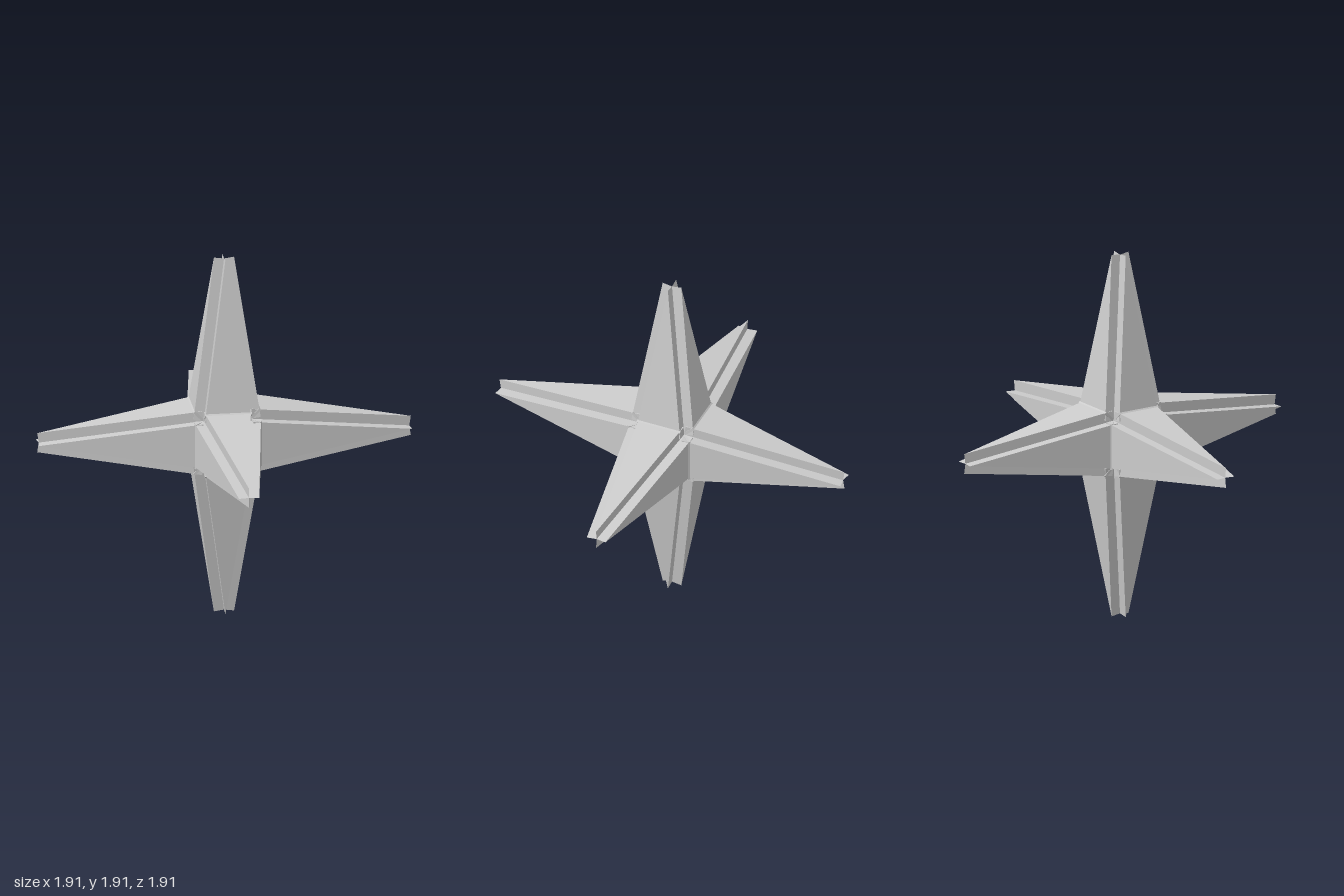
import * as THREE from 'three';

const CORE = 0.12;    // half size of the core cube
const TIP = 0.946;    // distance from centre to the end of an arm
const THICK = 0.052;  // thickness of the raised plates

export function createModel() {
  const star = new THREE.Group();
  star.name = 'sixPointedStar';
  const material = new THREE.MeshStandardMaterial({ color: 0xcccccc, flatShading: true });

  // triangular plate lying on one side of an arm's inner pyramid
  const rise = TIP - CORE;
  const triangle = new THREE.Shape();
  triangle.moveTo(-CORE, 0);
  triangle.lineTo(CORE, 0);
  triangle.lineTo(0, Math.hypot(rise, CORE));
  const plateGeometry = new THREE.ExtrudeGeometry(triangle, { depth: THICK, bevelEnabled: false });
  plateGeometry.rotateX(-Math.atan2(CORE, rise));
  plateGeometry.translate(0, CORE, CORE);

  // four plates leave V grooves along the arm's corners
  const q = Math.PI / 2;
  const arms = {
    topArm: [0, 0, 0], bottomArm: [Math.PI, 0, 0],
    frontArm: [q, 0, 0], backArm: [-q, 0, 0],
    leftArm: [0, 0, -q], rightArm: [0, 0, q],
  };
  for (const [name, rotation] of Object.entries(arms)) {
    const arm = new THREE.Group();
    arm.name = name;
    arm.rotation.set(...rotation);
    for (let i = 0; i < 4; i++) {
      const plate = new THREE.Mesh(plateGeometry, material);
      plate.name = 'armPlate';
      plate.rotation.y = i * q;
      arm.add(plate);
    }
    star.add(arm);
  }

  // narrow fillets in the valleys where neighbouring arms meet
  const filletGeometry = new THREE.BoxGeometry(2 * CORE, 0.068, 0.0134);
  filletGeometry.translate(0, 0.204, 0);
  for (const rotation of [[0, 0, 0], [0, q, 0], [0, 0, q]]) {
    const valleys = new THREE.Group();
    valleys.name = 'valleyFillets';
    valleys.rotation.set(...rotation);
    for (let i = 0; i < 4; i++) {
      const fillet = new THREE.Mesh(filletGeometry, material);
      fillet.name = 'valleyFillet';
      fillet.rotation.x = q / 2 + i * q;
      valleys.add(fillet);
    }
    star.add(valleys);
  }

  star.position.y = 1;
  const model = new THREE.Group();
  model.name = 'model';
  model.add(star);
  return model;
}
